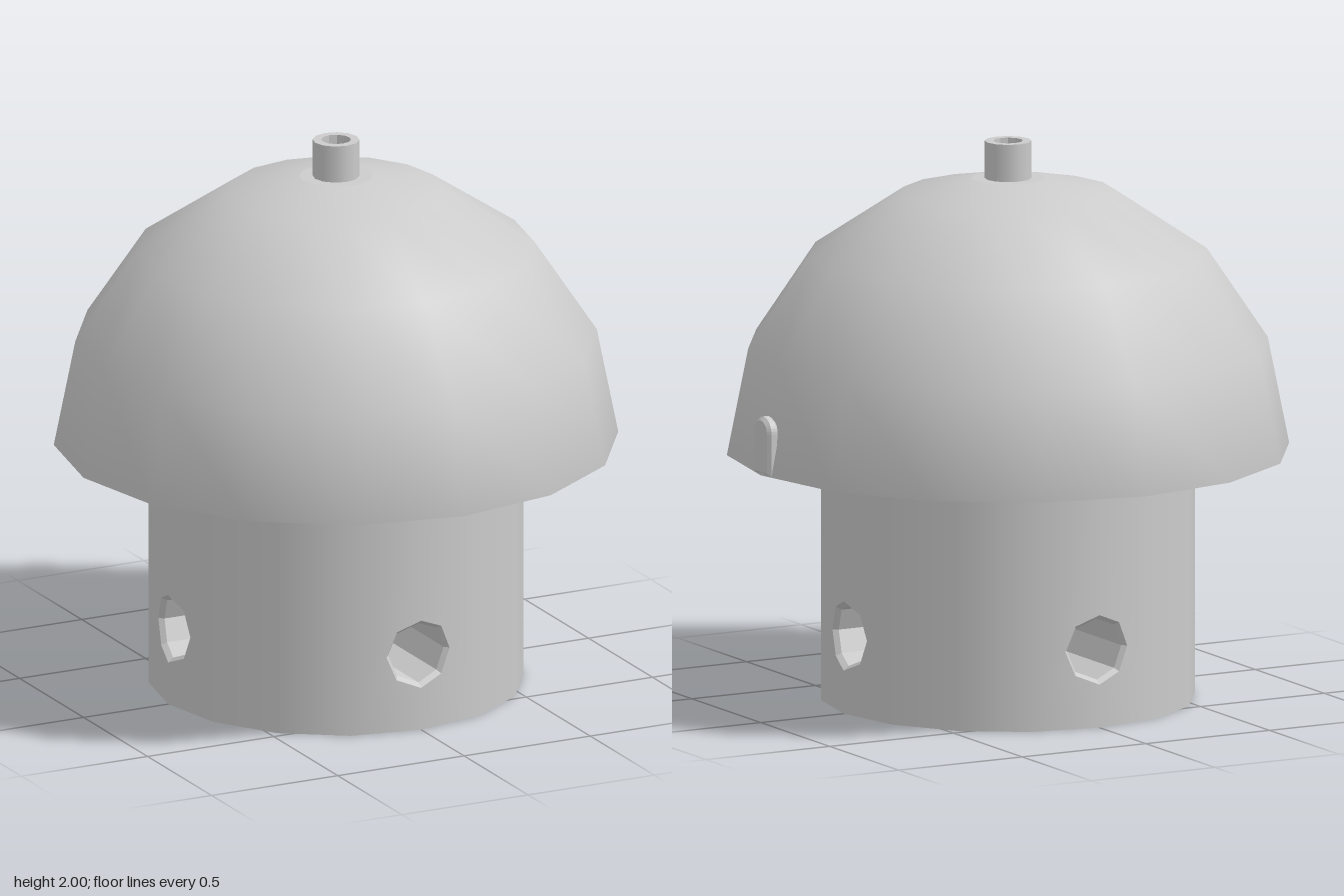
import * as THREE from 'three';

const SIDES = 16, STEP = (Math.PI * 2) / SIDES;
const BODY_R = 0.665, SEAM_Y = 0.89, TOP_Y = 1.866;
const HOLE_Y = 0.28, HOLE_R = 0.11, RIM_R = 0.125;
const grey = new THREE.MeshStandardMaterial({ color: 0xcccccc });
const inner = new THREE.MeshStandardMaterial({ color: 0xcccccc, side: THREE.DoubleSide, flatShading: true });

function add(parent, name, geometry, material = grey) {
  const mesh = new THREE.Mesh(geometry, material);
  mesh.name = name;
  parent.add(mesh);
  return mesh;
}

// Smooth normals pointing away from the axis (or from a centre at height cy)
function roundNormals(geo, cy = null) {
  const p = geo.attributes.position, n = geo.attributes.normal, v = new THREE.Vector3();
  for (let i = 0; i < p.count; i++) {
    v.set(p.getX(i), cy === null ? 0 : p.getY(i) - cy, p.getZ(i)).normalize();
    n.setXYZ(i, v.x, v.y, v.z);
  }
  return geo;
}

// Flat ring or disc facing up or down, with a corner on the z axis
function flatRing(r0, r1, y, up, sides = SIDES) {
  const g = r0 > 0 ? new THREE.RingGeometry(r0, r1, sides) : new THREE.CircleGeometry(r1, sides);
  return g.rotateX(up ? -Math.PI / 2 : Math.PI / 2).translate(0, y, 0);
}

// One flat side of the body; notch -1 / +1 cuts half a hole at that edge
function wallFacet(k) {
  const half = BODY_R * Math.sin(STEP / 2), apothem = BODY_R * Math.cos(STEP / 2);
  const notch = k % 4 === 0 ? -1 : k % 4 === 3 ? 1 : 0;
  const s = new THREE.Shape();
  const cut = (side) => {
    for (let i = 0; i <= 4; i++) {
      const a = (i / 4) * Math.PI;
      const y = HOLE_Y - side * RIM_R * Math.cos(a);
      s.lineTo(side * (half - RIM_R * Math.sin(a) / Math.cos(STEP / 2)), y);
    }
  };
  s.moveTo(-half, 0);
  s.lineTo(half, 0);
  if (notch > 0) cut(1);
  s.lineTo(half, SEAM_Y);
  s.lineTo(-half, SEAM_Y);
  if (notch < 0) cut(-1);
  const g = new THREE.ShapeGeometry(s);
  return roundNormals(g.translate(0, 0, apothem).rotateY((k + 0.5) * STEP));
}

// Eight-sided bore: bevelled mouth, then straight to the mitre with its neighbours
function boreGeometry() {
  const pos = [], index = [];
  for (let row = 0; row < 3; row++) {
    for (let i = 0; i <= 8; i++) {
      const a = (i / 8) * Math.PI * 2, r = row === 0 ? RIM_R : HOLE_R;
      const x = r * Math.sin(a), y = HOLE_Y + r * Math.cos(a);
      const wall = BODY_R - Math.abs(x) * Math.tan(STEP / 2);
      pos.push(x, y, [wall, wall - 0.02, Math.abs(x)][row]);
    }
  }
  for (let row = 0; row < 2; row++) {
    for (let i = 0; i < 8; i++) {
      const a = row * 9 + i, b = a + 9;
      index.push(a, b, a + 1, a + 1, b, b + 1);
    }
  }
  const g = new THREE.BufferGeometry();
  g.setAttribute('position', new THREE.Float32BufferAttribute(pos, 3));
  g.setIndex(index);
  g.computeVertexNormals();
  return g;
}

export function createModel() {
  const model = new THREE.Group();
  model.name = 'domedCap';

  // Cylindrical body with four cross-drilled holes
  const body = new THREE.Group();
  body.name = 'body';
  model.add(body);
  for (let k = 0; k < SIDES; k++) add(body, 'bodyWall', wallFacet(k));
  add(body, 'bodyBase', flatRing(0, BODY_R, 0, false));
  const bore = boreGeometry();
  for (let k = 0; k < 4; k++) add(body, 'crossHole', bore, inner).rotation.y = (k * Math.PI) / 2;

  // Hemispherical dome with a small flat crown
  const dome = new THREE.Group();
  dome.name = 'dome';
  model.add(dome);
  const profile = [0, 1, 2, 3].map((i) =>
    new THREE.Vector2(Math.cos(i * STEP), SEAM_Y + Math.sin(i * STEP)));
  profile.push(new THREE.Vector2(0.13, TOP_Y));
  add(dome, 'domeShell', roundNormals(new THREE.LatheGeometry(profile, SIDES), SEAM_Y));
  add(dome, 'domeCrown', flatRing(0, 0.13, TOP_Y, true));
  add(dome, 'domeUnderside', flatRing(BODY_R, 1, SEAM_Y, false));

  // Hollow spout on the crown
  const spout = new THREE.Group();
  spout.name = 'spout';
  model.add(spout);
  const h = 2 - TOP_Y, midY = TOP_Y + h / 2;
  add(spout, 'spoutWall', new THREE.CylinderGeometry(0.083, 0.083, h, 12, 1, true).translate(0, midY, 0));
  add(spout, 'spoutBore', new THREE.CylinderGeometry(0.053, 0.053, h, 12, 1, true).translate(0, midY, 0), inner);
  add(spout, 'spoutRim', flatRing(0.053, 0.083, 2, true, 12));

  // Bevelled arched tab on the left of the dome rim
  const w = 0.045, bevel = 0.012, depth = 0.045;
  const arch = new THREE.Shape();
  arch.moveTo(-w, SEAM_Y + bevel);
  arch.lineTo(w, SEAM_Y + bevel);
  arch.lineTo(w, 1.043);
  arch.absarc(0, 1.043, w, 0, Math.PI);
  const tab = new THREE.ExtrudeGeometry(arch, {
    depth: depth - 2 * bevel, bevelEnabled: true, bevelSize: bevel,
    bevelThickness: bevel, bevelSegments: 1, curveSegments: 8,
  });
  add(model, 'rimTab', tab.translate(0, 0, 1 - depth + bevel).rotateY(Math.PI / 2));

  return model;
}
